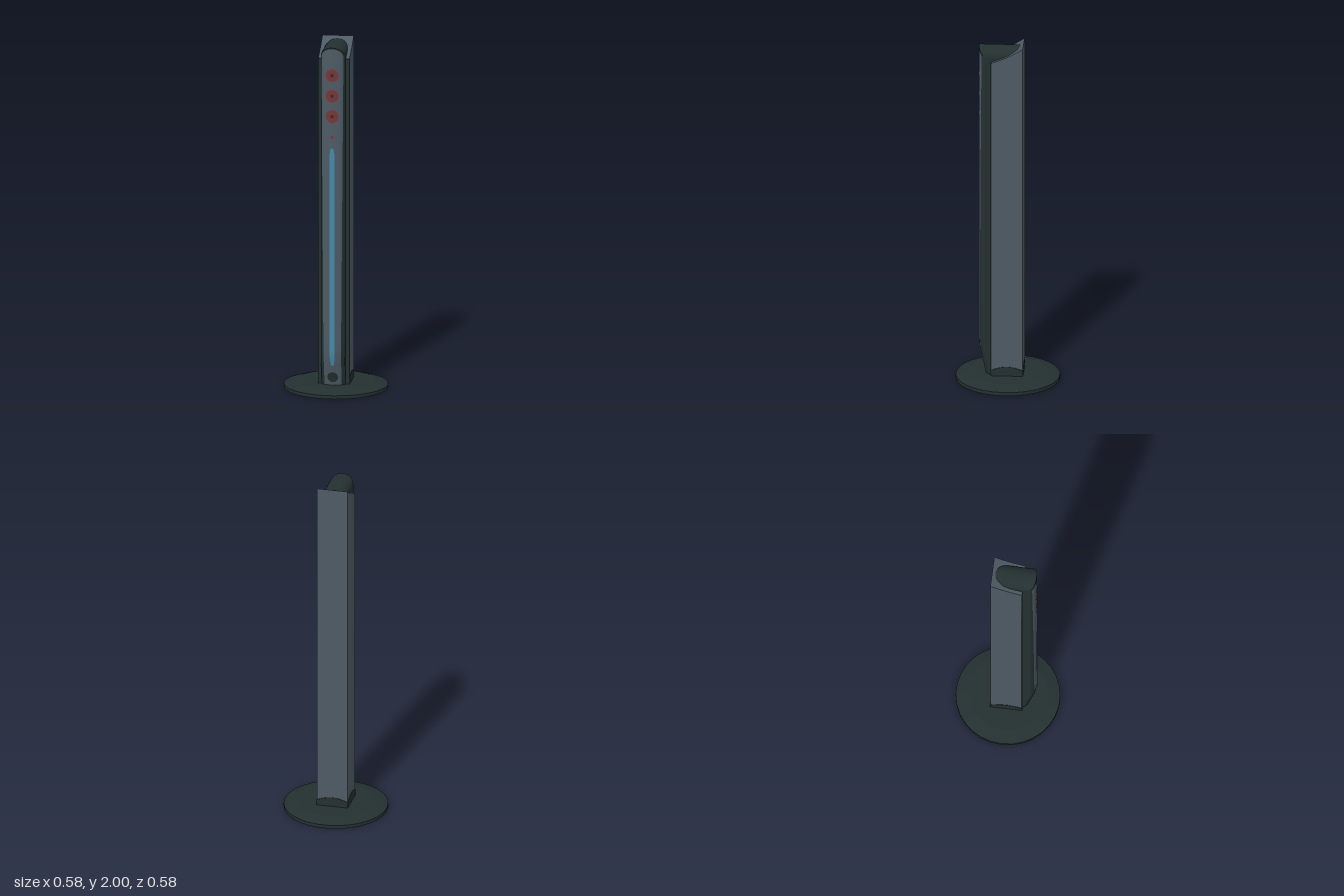
import * as THREE from 'three';
import { toCreasedNormals } from 'three/addons/utils/BufferGeometryUtils.js';

const FLOOR = 0.04, HALF = 0.067;

// Height of the arched column top, and depth of its bowed front, tapered at the foot
const archTop = (x) => 1.988 - 0.05 * (1 - Math.sqrt(Math.max(0, 1 - (x / HALF) ** 2)));
const frontZ = (x, y) => {
  const u = x / HALF;
  return 0.161 - 0.013 * u * u - 0.015 * u ** 8 - Math.max(0, 0.22 - y) * 0.21;
};

// Move every vertex of a geometry by a rule
function reshape(geometry, rule) {
  const p = geometry.attributes.position;
  const v = new THREE.Vector3();
  for (let i = 0; i < p.count; i++) {
    v.fromBufferAttribute(p, i);
    rule(v);
    p.setXYZ(i, v.x, v.y, v.z);
  }
  geometry.computeVertexNormals();
  return geometry;
}

// Lay a flat geometry over the bowed front
const drape = (geometry, y, lift) => reshape(geometry.translate(0, y, 0), (v) => {
  v.z = frontZ(v.x, v.y) + lift;
});

function material(name, color) {
  const m = new THREE.MeshStandardMaterial({ color });
  m.name = name;
  return m;
}

export function createModel() {
  const model = new THREE.Group();
  model.name = 'towerColumn';
  const dark = material('dark green black', 0x243030);
  const slate = material('slate grey', 0x4d5a64);
  const red = material('dull red', 0x783636);
  const blue = material('light strip blue', 0x458aa8);

  function add(name, geometry, mat) {
    const mesh = new THREE.Mesh(geometry, mat);
    mesh.name = name;
    model.add(mesh);
    return mesh;
  }

  // Round foot with a sloped rim
  const footProfile = [[0, 0], [0.292, 0], [0.292, 0.02], [0.22, FLOOR], [0, FLOOR]]
    .map(([x, y]) => new THREE.Vector2(x, y));
  const foot = new THREE.LatheGeometry(footProfile, 30).rotateY(Math.PI / 2);
  add('base', toCreasedNormals(foot, 0.25), dark);

  // Square rear casing with a scooped, sloping top
  const side = new THREE.Shape([
    [-0.088, FLOOR], [0.087, FLOOR], [0.087, 1.913], [0.05, 1.926],
    [0.015, 1.941], [-0.02, 1.958], [-0.055, 1.979], [-0.088, 2],
  ].map(([z, y]) => new THREE.Vector2(z, y)));
  const casing = new THREE.ExtrudeGeometry(side, { depth: 0.176, bevelEnabled: false });
  casing.rotateY(-Math.PI / 2).translate(0.088, 0, 0);
  add('rearCasing', toCreasedNormals(casing, 0.3), slate);

  // Dark facing on the front of the casing
  add('casingFacing', new THREE.BoxGeometry(0.176, 1.87, 0.006), dark).position.set(0, 0.977, 0.088);

  // Dark skirt around the casing foot, its upper edge waved
  const skirt = reshape(new THREE.BoxGeometry(0.18, 1, 0.18, 12, 1, 12), (v) => {
    const wave = Math.cos((v.x / 0.09) * 1.57) + Math.cos((v.z / 0.09) * 1.57);
    v.y = v.y > 0 ? 0.072 + 0.022 * Math.min(1, wave) : FLOOR;
  });
  add('casingSkirt', skirt, dark);

  // Front column, arched on top and bowed in front
  const column = reshape(new THREE.BoxGeometry(2, 1, 1, 16, 36, 1), (v) => {
    v.x = HALF * Math.sin(v.x * Math.PI / 2);
    v.y = FLOOR + (v.y + 0.5) * (archTop(v.x) - FLOOR);
    v.z = v.z > 0 ? frontZ(v.x, v.y) : -0.072;
  });
  add('frontColumn', column, dark);

  // Slate panel on the column, narrowing downwards
  const panel = reshape(new THREE.PlaneGeometry(2, 1, 16, 36), (v) => {
    const t = v.y + 0.5;
    const s = Math.sin(v.x * Math.PI / 2);
    v.x = s * (0.048 + 0.014 * t);
    v.y = FLOOR + t * (archTop(s * HALF) - 0.006 - FLOOR);
    v.z = frontZ(v.x, v.y) + 0.002;
  });
  add('frontPanel', panel, slate);

  // Light strip with rounded ends
  const strip = new THREE.PlaneGeometry(0.026, 1.25, 4, 40);
  reshape(strip, (v) => {
    const end = Math.max(0, Math.abs(v.y) - 0.612) / 0.013;
    v.x *= 1 - 0.4 * end;
  });
  add('lightStrip', drape(strip, 0.785, 0.004), blue);

  // Three round buttons with dark centres
  for (const y of [1.83, 1.712, 1.595]) {
    add('button', drape(new THREE.RingGeometry(0.009, 0.037, 24, 4), y, 0.004), red);
    add('buttonCentre', drape(new THREE.CircleGeometry(0.01, 12), y, 0.0045), dark);
  }

  // Small indicator and the dark sensor at the foot
  add('indicator', drape(new THREE.CircleGeometry(0.009, 12), 1.475, 0.004), red);
  add('footSensor', drape(new THREE.RingGeometry(0.0001, 0.03, 20, 4), 0.088, 0.004), dark);

  return model;
}
